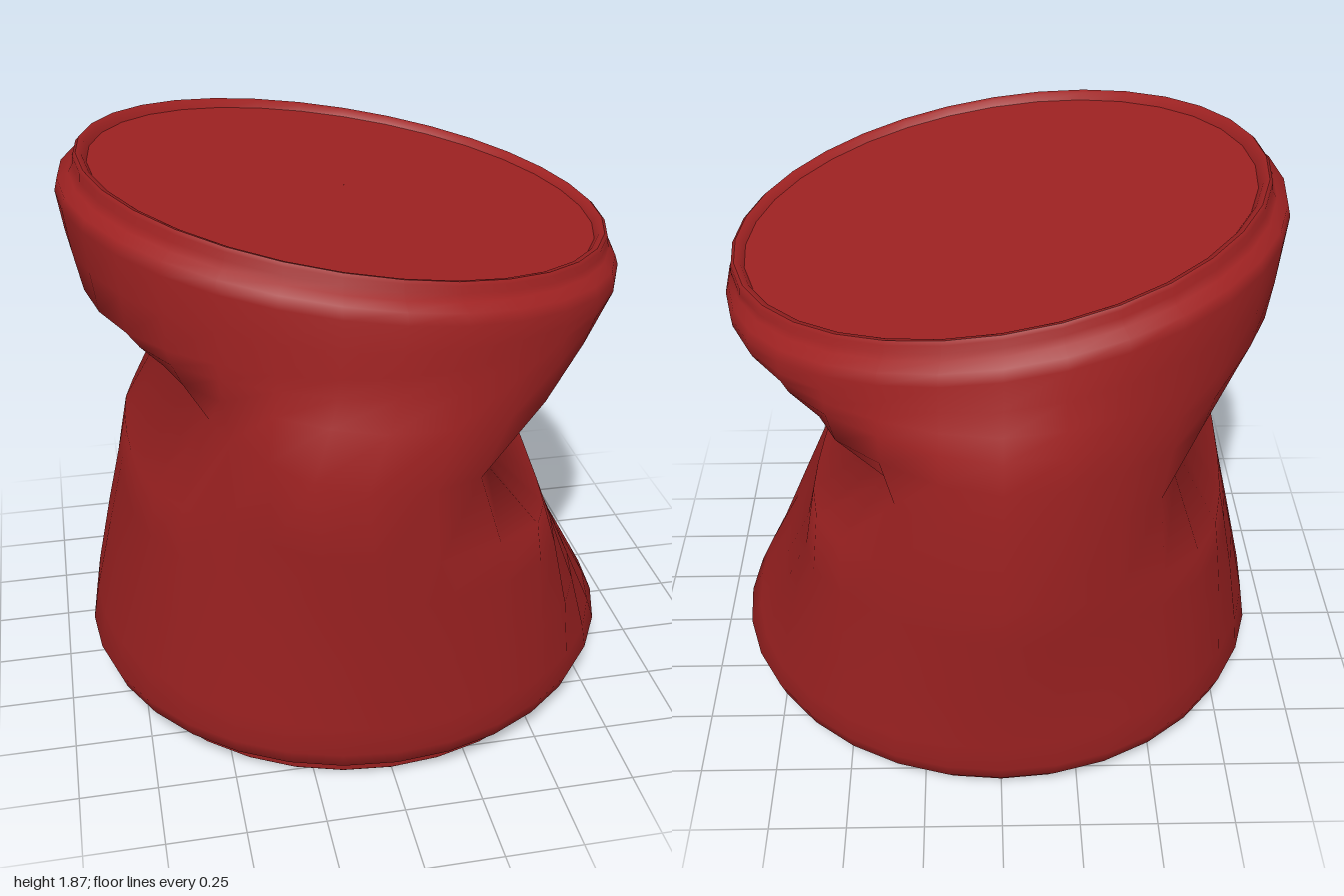
import * as THREE from 'three';

const SIDES = 32;
const red = new THREE.MeshStandardMaterial({ color: 0x9f2222, side: THREE.DoubleSide });

// Circle of radius r pressed flat so that it reaches only as far as limit
function press(r, c, limit) {
  const x = r * Math.abs(c);
  return x < 1e-6 ? 0 : (x ** -7 + limit ** -7 - r ** -7) ** (-1 / 7);
}

// Row: [radius, left x, left y, right x, right y, front bulge, back bulge, twist]
// twist slants the folds: down at front right and back left, up at the other two
function loft(name, rows) {
  const pos = [], index = [];
  for (const [r, xl, yl, xr, yr, front, back, twist] of rows) {
    for (let j = 0; j < SIDES; j++) {
      const a = (j / SIDES) * Math.PI * 2, c = Math.cos(a), s = Math.sin(a);
      const x = c > 0 ? press(r, c, xr * (1 - 0.6 * twist * s)) : -press(r, c, -xl);
      const ridge = s ** 14 * (s > 0 ? front : back);
      pos.push(
        s > 0 ? x - 1.3 * ridge : x,
        (yl + yr) / 2 + ((yr - yl) / 2) * c - twist * s * c,
        r * s + Math.sign(s) * ridge);
    }
  }
  for (let i = 0; i < rows.length - 1; i++) {
    for (let j = 0; j < SIDES; j++) {
      const n = (j + 1) % SIDES;
      const a = i * SIDES + j, b = i * SIDES + n;
      index.push(a, a + SIDES, b, b, a + SIDES, b + SIDES);
    }
  }
  const geo = new THREE.BufferGeometry();
  geo.setAttribute('position', new THREE.Float32BufferAttribute(pos, 3));
  geo.setIndex(index);
  geo.computeVertexNormals();
  const mesh = new THREE.Mesh(geo, red);
  mesh.name = name;
  return mesh;
}

// Round row with separate heights at the left and right
const round = (r, yl, yr = yl) => [r, -r, yl, r, yr, 0, 0, 0];

export function createModel() {
  const can = new THREE.Group();
  can.name = 'crushedCan';

  // Crumpled wall: a deep fold on both sides pushes out ridges at front and back,
  // then a tilted shoulder runs into the lip
  can.add(loft('dentedBody', [
    round(0.81, 0.07),
    round(0.85, 0.07),
    round(0.88, 0.09),
    round(0.903, 0.15),
    [0.9, -0.88, 0.28, 0.86, 0.23, 0.01, 0.01, 0],
    [0.9, -0.82, 0.54, 0.74, 0.45, 0.03, 0.04, 0.03],
    [0.9, -0.77, 0.75, 0.62, 0.73, 0.055, 0.075, 0.08],
    [0.9, -0.74, 0.89, 0.565, 0.92, 0.075, 0.1, 0.14],
    [0.9, -0.54, 1.2, 0.31, 1.13, 0.1, 0.1, 0.13],
    [0.9, -0.66, 1.34, 0.53, 1.3, 0.045, 0.1, 0.08],
    [0.9, -0.76, 1.42, 0.7, 1.41, 0.02, 0.08, 0.04],
    [0.9, -0.85, 1.49, 0.82, 1.465, 0.015, 0.05, 0],
    [0.9, -0.88, 1.62, 0.85, 1.475, 0.01, 0.02, 0],
    [0.9, -0.9, 1.75, 0.855, 1.5, 0, 0, 0],
    [0.89, -0.89, 1.79, 0.845, 1.53, 0, 0, 0],
    [0.855, -0.855, 1.805, 0.835, 1.55, 0, 0, 0],
    round(0.84, 1.83, 1.565),
    round(0.838, 1.855, 1.585),
    round(0.828, 1.865, 1.594),
  ]));

  // Standing ring around the open underside
  can.add(loft('bottomRim', [
    round(0.77, 0.07), round(0.77, 0.01), round(0.785, 0),
    round(0.8, 0), round(0.81, 0.01), round(0.81, 0.075),
  ]));

  // Inner edge of the lip and the flat lid set just below it
  can.add(loft('lipInside', [
    round(0.828, 1.865, 1.594), round(0.81, 1.858, 1.592), round(0.797, 1.835, 1.575),
  ]));
  can.add(loft('lid', [round(0.797, 1.835, 1.575), round(0.001, 1.7052, 1.7048)]));

  return can;
}
